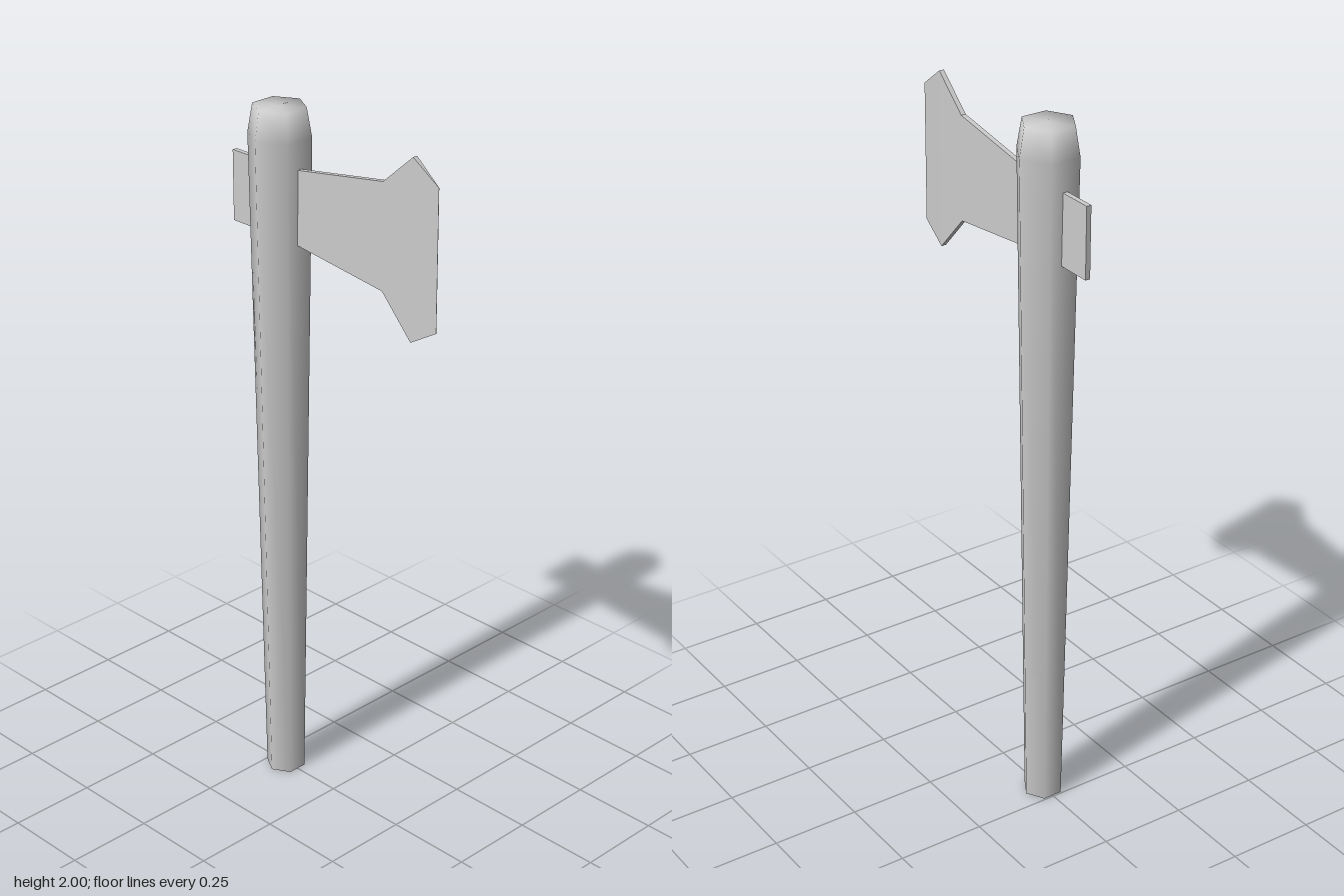
import * as THREE from 'three';

const HANDLE_X = -0.197;

// Blade cross-sections along x: [x, bottom y, top y, half thickness]
const SECTIONS = [
  [-0.37, 1.64, 1.838, 0.007],
  [-0.16, 1.64, 1.838, 0.007],
  [0.182, 1.6, 1.895, 0.007],
  [0.284, 1.49, 1.985, 0.007],
  [0.366, 1.538, 1.925, 0.0004],
];

// Six-sided handle, thicker toward the rounded top, shaded smooth
function makeHandle(material) {
  const profile = [[0, 0], [0.056, 0], [0.087, 1.92], [0.073, 2], [0, 2]]
    .map(([r, y]) => new THREE.Vector2(r, y));
  const handle = new THREE.Mesh(new THREE.LatheGeometry(profile, 6), material);
  handle.name = 'handle';
  handle.position.x = HANDLE_X;
  return handle;
}

// Thin flared blade with a flat rear stub, ground to a sharp edge
function makeBlade(material) {
  const last = SECTIONS.length - 1;
  const geometry = new THREE.BoxGeometry(last, 2, 2, last, 1, 1);
  const p = geometry.attributes.position;
  for (let i = 0; i < p.count; i++) {
    const [x, bottom, top, half] = SECTIONS[Math.round(p.getX(i) + last / 2)];
    p.setXYZ(i, x, p.getY(i) > 0 ? top : bottom, Math.sign(p.getZ(i)) * half);
  }
  const flat = geometry.toNonIndexed();
  flat.computeVertexNormals();
  const blade = new THREE.Mesh(flat, material);
  blade.name = 'blade';
  return blade;
}

export function createModel() {
  const smooth = new THREE.MeshStandardMaterial({ color: 0xcccccc });
  const faceted = new THREE.MeshStandardMaterial({ color: 0xcccccc, flatShading: true });
  const axe = new THREE.Group();
  axe.name = 'axe';
  axe.add(makeHandle(smooth), makeBlade(faceted));
  return axe;
}
